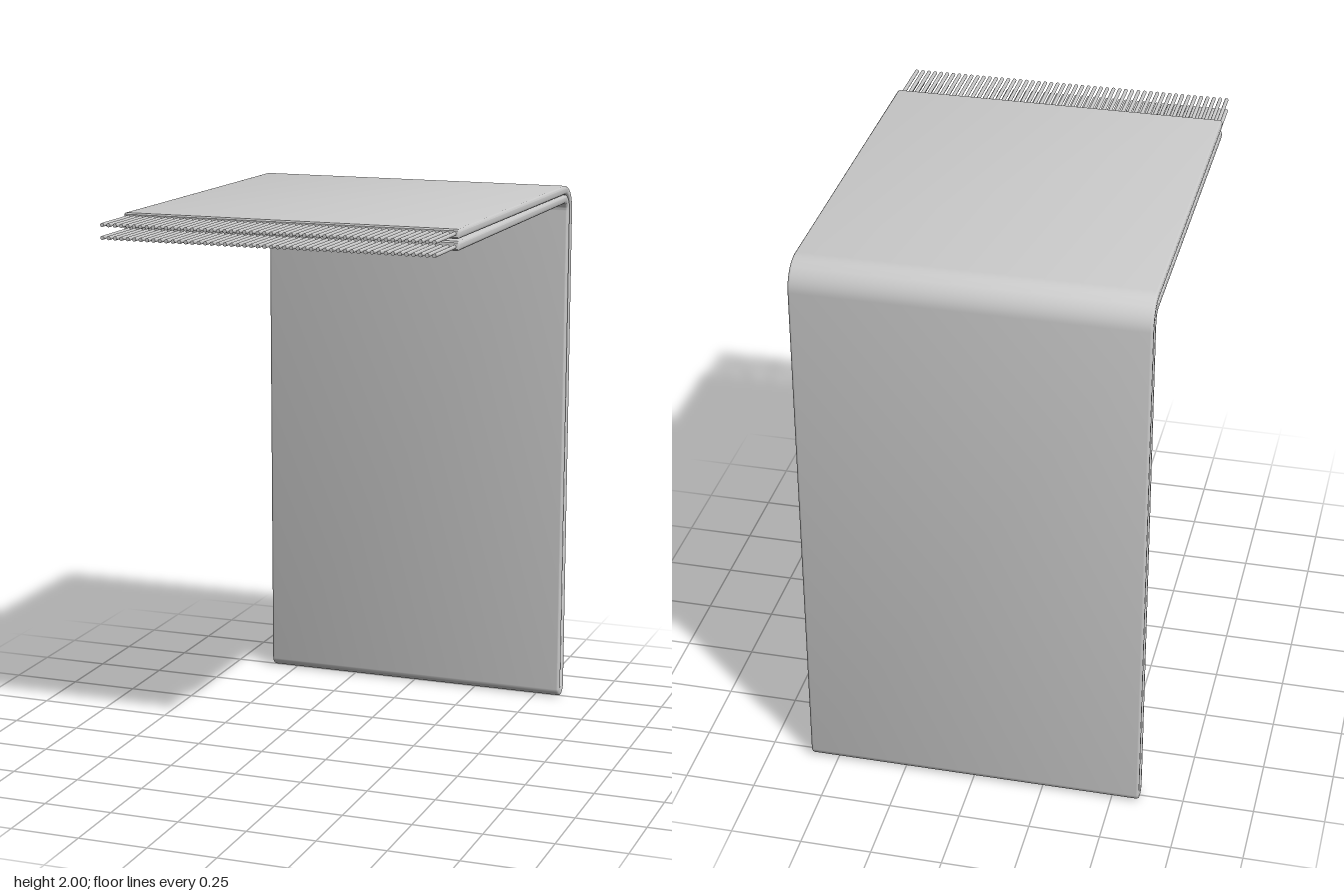
import * as THREE from 'three';
import { toCreasedNormals } from 'three/addons/utils/BufferGeometryUtils.js';

const WIDTH = 1.195, HALF = 0.016, ROUND = 0.009;

// Centre line of the folded cloth seen from the side; first coordinate is -z, second is y.
function clothPath() {
  const pts = [];
  const line = (x, y) => pts.push({ x, y });
  const arc = (cx, cy, r, from, to, n) => {
    for (let i = 0; i <= n; i++) {
      const a = THREE.MathUtils.degToRad(from + (to - from) * i / n);
      pts.push({ x: cx + r * Math.cos(a), y: cy + r * Math.sin(a) });
    }
  };
  line(-0.595, 1.984);
  arc(0.688, 1.894, 0.083, 90, 0, 14);    // outer bend over the edge
  arc(0.758, 0.038, 0.022, 0, -180, 18);  // fold at the bottom
  arc(0.69, 1.898, 0.046, 0, 90, 14);     // inner bend
  line(-0.595, 1.945);
  return pts;
}

// Thickens the centre line into a closed outline with eased corners.
function clothShape(pts) {
  const left = [], right = [];
  const last = pts.length - 1;
  const offset = (p, dx, dy, along, h) => {
    left.push(new THREE.Vector2(p.x + dx * along - dy * h, p.y + dy * along + dx * h));
    right.push(new THREE.Vector2(p.x + dx * along + dy * h, p.y + dy * along - dx * h));
  };
  pts.forEach((p, i) => {
    const a = pts[Math.max(i - 1, 0)], b = pts[Math.min(i + 1, last)];
    // unit directions before and after, averaged
    const d1 = new THREE.Vector2(p.x - a.x, p.y - a.y).normalize();
    const d2 = new THREE.Vector2(b.x - p.x, b.y - p.y).normalize();
    const d = d1.add(d2).normalize();
    if (i === 0) offset(p, d.x, d.y, 0, HALF - 0.005);
    if (i === 0) offset(p, d.x, d.y, 0.005, HALF);
    else if (i === last) {
      offset(p, d.x, d.y, -0.005, HALF);
      offset(p, d.x, d.y, 0, HALF - 0.005);
    } else offset(p, d.x, d.y, 0, HALF);
  });
  return new THREE.Shape([...right, ...left.reverse()]);
}

export function createModel() {
  const group = new THREE.Group();
  const material = new THREE.MeshStandardMaterial({ color: 0xcccccc });

  // Folded cloth
  const depth = WIDTH - 2 * ROUND;
  const geometry = new THREE.ExtrudeGeometry(clothShape(clothPath()), {
    depth, steps: 1, bevelEnabled: true, bevelThickness: ROUND,
    bevelSize: ROUND, bevelOffset: -ROUND, bevelSegments: 3,
  });
  geometry.translate(0, 0, -depth / 2).rotateY(Math.PI / 2);
  const cloth = new THREE.Mesh(toCreasedNormals(geometry, 0.7), material);
  cloth.name = 'foldedCloth';
  group.add(cloth);

  // Fringe strands at both free ends
  const strandGeometry = new THREE.CylinderGeometry(0.007, 0.007, 0.23, 8);
  strandGeometry.rotateX(Math.PI / 2);
  const count = 51;
  for (const [name, y] of [['upperFringe', 1.985], ['lowerFringe', 1.942]]) {
    const fringe = new THREE.Group();
    fringe.name = name;
    for (let i = 0; i < count; i++) {
      const strand = new THREE.Mesh(strandGeometry, material);
      strand.name = 'strand';
      strand.position.set(-0.58 + 1.16 * i / (count - 1), y, 0.685);
      fringe.add(strand);
    }
    group.add(fringe);
  }
  return group;
}
